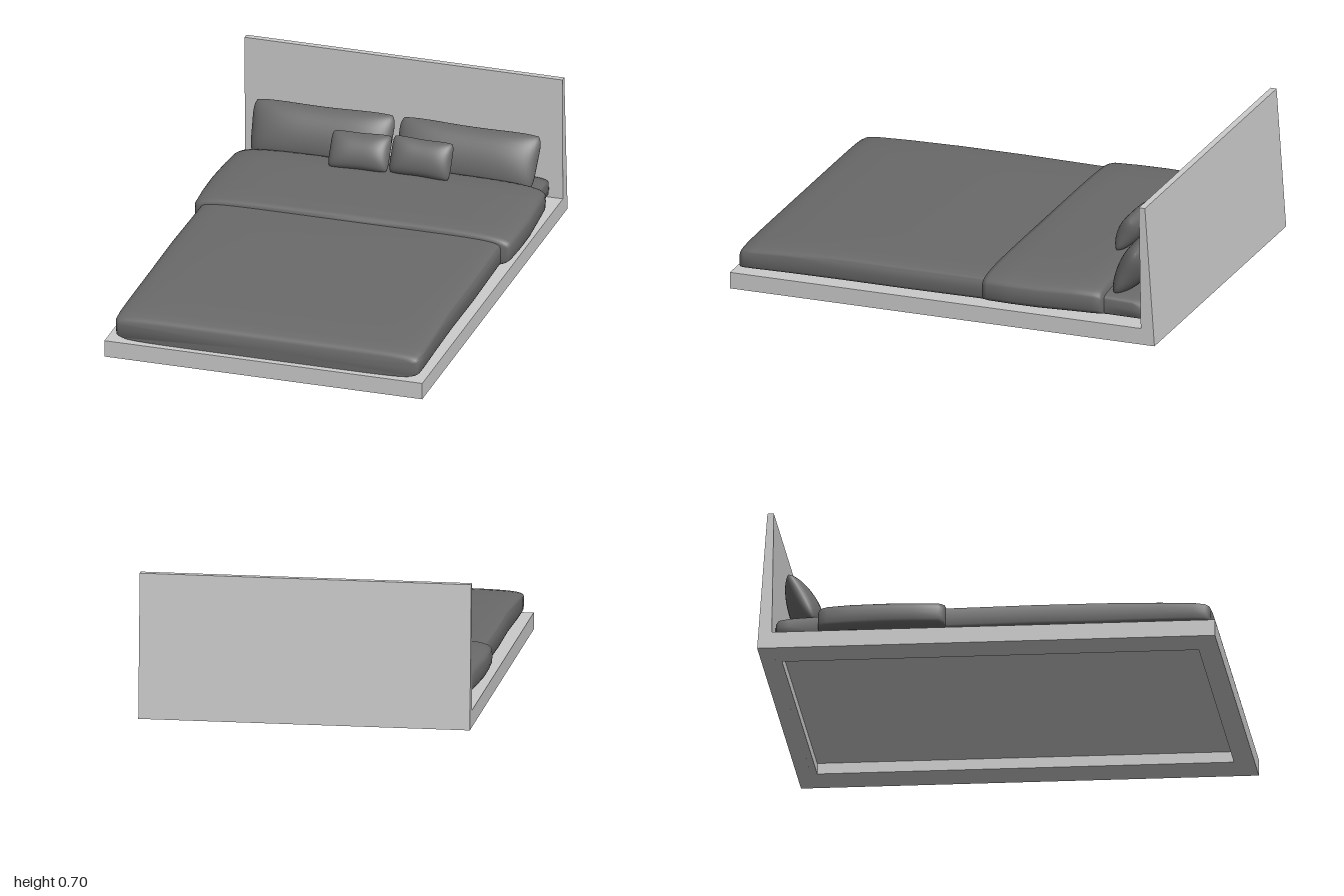
import * as THREE from 'three';
import { mergeGeometries, mergeVertices, toCreasedNormals } from 'three/addons/utils/BufferGeometryUtils.js';

const frameMat = new THREE.MeshStandardMaterial({ color: 0xcccccc });
const beddingMat = new THREE.MeshStandardMaterial({ color: 0x6a6a6a });

// The platform slopes gently up toward the headboard.
const rise = (z) => 0.03 * (1 - z);
const deck = (z) => 0.075 + rise(z);

function part(name, geometry, material) {
  const mesh = new THREE.Mesh(geometry, material);
  mesh.name = name;
  return mesh;
}

function rectangle(Type, x0, x1, y0, y1) {
  const p = new Type();
  p.moveTo(x0, y0);
  p.lineTo(x1, y0);
  p.lineTo(x1, y1);
  p.lineTo(x0, y1);
  p.closePath();
  return p;
}

// Horizontal slab from a plan shape (plan y = -z), sheared to follow the slope.
function slopedSlab(shape, bottom, thickness) {
  const geo = new THREE.ExtrudeGeometry(shape, { depth: thickness, bevelEnabled: false });
  geo.rotateX(-Math.PI / 2);
  const p = geo.attributes.position;
  for (let i = 0; i < p.count; i++) p.setY(i, p.getY(i) + bottom + rise(p.getZ(i)));
  geo.computeVertexNormals();
  return geo;
}

// Soft body lofted along z through rounded-box sections: [z, halfWidth, bottom, top].
function softLoft(sections, power, cx = -0.005) {
  const around = 64, pos = [], idx = [];
  const cap = ([z, , b, t]) => [z, 0, (b + t) / 2, (b + t) / 2];
  const rows = [cap(sections[0]), ...sections, cap(sections[sections.length - 1])];
  const pow = (v) => Math.sign(v) * Math.abs(v) ** (2 / power);
  rows.forEach(([z, w, b, t], r) => {
    for (let j = 0; j < around; j++) {
      const a = (j / around) * Math.PI * 2;
      const ripple = 1 + 0.004 * Math.sin(9 * z + 2 * a);
      pos.push(cx + w * ripple * pow(Math.cos(a)), (b + t) / 2 + ((t - b) / 2) * pow(Math.sin(a)), z);
      if (r === 0) continue;
      const k = (j + 1) % around, p = (r - 1) * around, q = r * around;
      idx.push(p + j, q + j, p + k, p + k, q + j, q + k);
    }
  });
  const geo = new THREE.BufferGeometry();
  geo.setAttribute('position', new THREE.Float32BufferAttribute(pos, 3));
  geo.setIndex(idx);
  return toCreasedNormals(geo, 1.0);
}

// Stuffed cushion: two bulging sheets sewn together at the rim.
function cushion(width, height, thickness, taper) {
  const sheet = (side) => {
    const g = new THREE.PlaneGeometry(2, 2, 28, 20);
    g.deleteAttribute('uv');
    g.deleteAttribute('normal');
    const p = g.attributes.position;
    for (let i = 0; i < p.count; i++) {
      const u = Math.sin((p.getX(i) * Math.PI) / 2), v = Math.sin((p.getY(i) * Math.PI) / 2);
      const bulge = Math.sqrt(Math.max(0, (1 - u ** 4) * (1 - v * v)));
      const corner = 1 - 0.07 * u ** 4 * v ** 4;
      const x = (width / 2) * u * corner * (1 - 0.02 * (1 - v * v) + taper * (v - 1));
      const y = (height / 2) * v * corner * (1 - 0.03 * Math.cos(u * 3));
      p.setXYZ(i, side * x, y, (side * thickness / 2) * bulge);
    }
    return g;
  };
  const geo = mergeVertices(mergeGeometries([sheet(1), sheet(-1)]), 1e-4);
  geo.computeVertexNormals();
  return geo;
}

export function createModel() {
  const bed = new THREE.Group();
  bed.name = 'bed';

  // Platform rails with a recessed base panel
  const outline = rectangle(THREE.Shape, -0.735, 0.715, -1, 0.937);
  outline.holes.push(rectangle(THREE.Path, -0.59, 0.57, -0.91, 0.91));
  bed.add(part('platformFrame', slopedSlab(outline, 0, 0.075), frameMat));
  const base = rectangle(THREE.Shape, -0.59, 0.57, -0.91, 0.91);
  bed.add(part('basePanel', slopedSlab(base, 0.05, 0.02), frameMat));

  // Tapered headboard, its side profile extruded across the width
  const side = new THREE.Shape([[1, 0.06], [0.955, 0.7], [0.927, 0.7], [0.937, 0.058]]
    .map(([x, y]) => new THREE.Vector2(x, y)));
  const board = new THREE.ExtrudeGeometry(side, { depth: 1.45, bevelEnabled: false });
  board.rotateY(Math.PI / 2);
  board.rotateY(Math.PI);
  // depth now runs toward -x and the profile toward +z, so turn it to the back
  board.rotateY(Math.PI);
  board.translate(-0.735, 0, 0);
  bed.add(part('headboard', board, frameMat));

  // Mattress with its cover: [z, half width, top]
  const mattress = [
    [0.975, 0.67, 0.165], [0.968, 0.685, 0.178], [0.95, 0.692, 0.188], [0.9, 0.694, 0.197],
    [0.75, 0.694, 0.21], [0.5, 0.693, 0.224], [0.2, 0.69, 0.233], [-0.2, 0.688, 0.243],
    [-0.6, 0.68, 0.247], [-0.75, 0.668, 0.245], [-0.87, 0.667, 0.242], [-0.915, 0.665, 0.235],
    [-0.927, 0.655, 0.222], [-0.932, 0.64, 0.205],
  ].map(([z, w, top]) => [z, w, deck(z) + 0.002, top]);
  bed.add(part('mattress', softLoft(mattress, 7), beddingMat));

  // Folded-back blanket draped over the upper half
  const blanket = [
    [-0.183, 0.705, 0.25], [-0.188, 0.718, 0.26], [-0.21, 0.726, 0.266], [-0.32, 0.729, 0.272],
    [-0.45, 0.727, 0.278], [-0.6, 0.718, 0.286], [-0.7, 0.712, 0.286], [-0.73, 0.706, 0.28],
    [-0.74, 0.695, 0.266],
  ].map(([z, w, top]) => [z, w, deck(z) + 0.004, top]);
  bed.add(part('foldedBlanket', softLoft(blanket, 4.8, 0), beddingMat));

  // Cushions: name, size, position, lean back, roll
  const cushions = [
    ['largePillowRight', [0.66, 0.25, 0.14, 0.02], [-0.347, 0.337, -0.822], -0.46, 0.01],
    ['largePillowLeft', [0.66, 0.25, 0.14, 0.02], [0.318, 0.337, -0.822], -0.46, -0.01],
    ['smallCushionRight', [0.275, 0.165, 0.1, 0], [-0.124, 0.352, -0.675], -0.6, 0.03],
    ['smallCushionLeft', [0.28, 0.165, 0.095, 0], [0.157, 0.36, -0.672], -0.42, -0.02],
  ];
  for (const [name, size, at, lean, roll] of cushions) {
    const mesh = part(name, cushion(...size), beddingMat);
    mesh.position.set(...at);
    mesh.rotation.set(lean, 0, roll);
    bed.add(mesh);
  }
  return bed;
}
